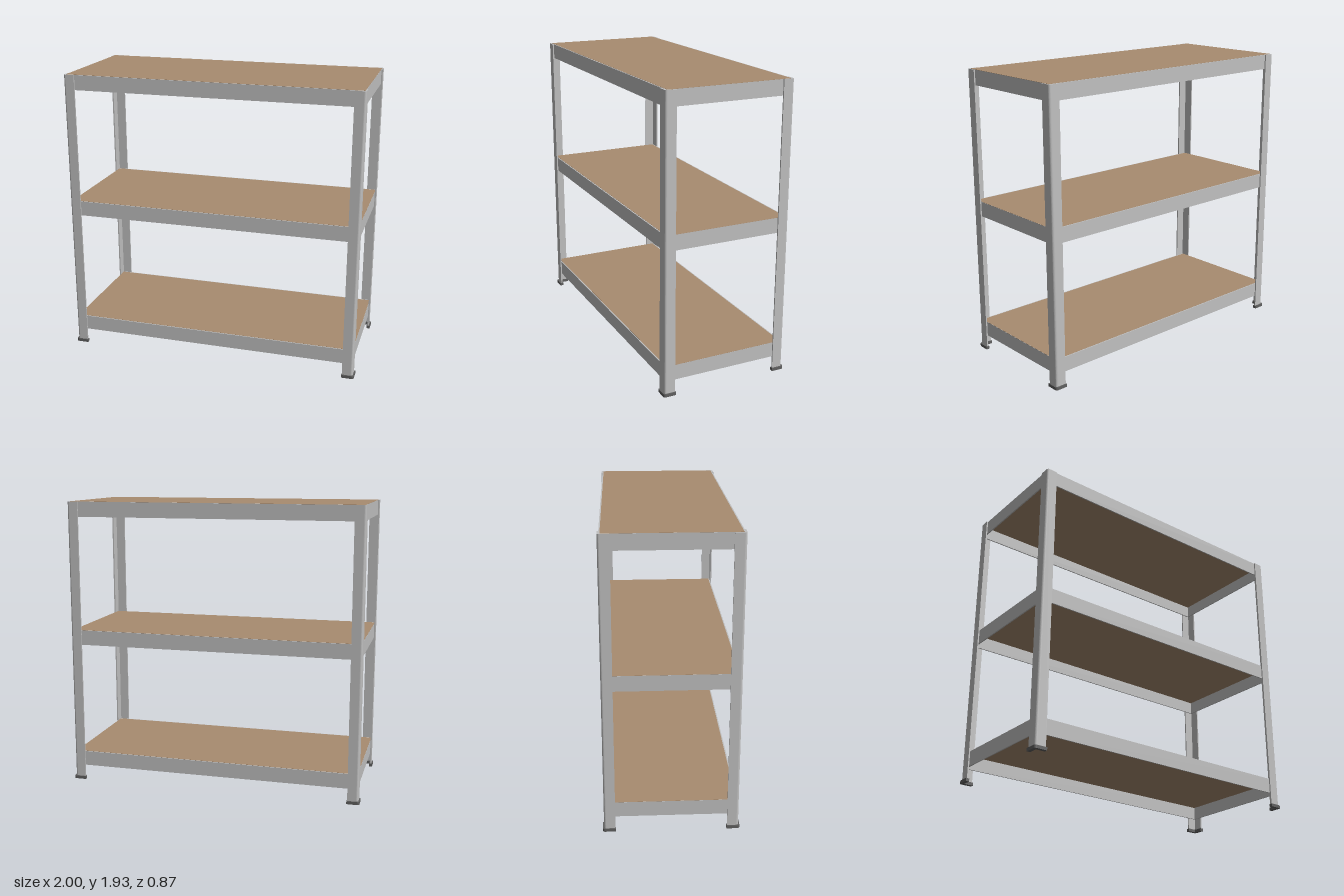
import * as THREE from 'three';

const X = 0.992, Z = 0.427; // outer corner of the uprights

// Vertical L-section with a rounded outer corner, corner at the origin, legs toward -x and +y (-z once upright)
function angleBar(leg, thick, radius, height) {
  const s = new THREE.Shape();
  s.moveTo(-leg, 0);
  s.lineTo(-radius, 0);
  s.absarc(-radius, radius, radius, -Math.PI / 2, 0, false);
  s.lineTo(0, leg);
  s.lineTo(-thick, leg);
  s.lineTo(-thick, thick);
  s.lineTo(-leg, thick);
  s.closePath();
  const g = new THREE.ExtrudeGeometry(s, { depth: height, bevelEnabled: false, curveSegments: 5 });
  return g.rotateX(-Math.PI / 2);
}

export function createModel() {
  const steel = new THREE.MeshStandardMaterial({ color: 0xc0c0c0 });
  steel.name = 'galvanised steel';
  const wood = new THREE.MeshStandardMaterial({ color: 0xa88c70 });
  wood.name = 'fibreboard';
  const rubber = new THREE.MeshStandardMaterial({ color: 0x606060 });
  rubber.name = 'dark foot';

  const model = new THREE.Group();
  model.name = 'shelvingUnit';

  const add = (parent, name, geometry, material, x, y, z) => {
    const m = new THREE.Mesh(geometry, material);
    m.name = name;
    m.position.set(x, y, z);
    parent.add(m);
    return m;
  };

  // Corner uprights, each standing in an L-shaped foot
  const postGeo = angleBar(0.072, 0.009, 0.014, 1.925);
  const footGeo = angleBar(0.084, 0.023, 0.014, 0.02);
  const corners = [[1, 1, 0], [1, -1, 1], [-1, -1, 2], [-1, 1, 3]];
  for (const [sx, sz, turn] of corners) {
    const corner = new THREE.Group();
    corner.name = 'corner';
    corner.position.set(sx * X, 0, sz * Z);
    corner.rotation.y = turn * Math.PI / 2;
    add(corner, 'upright', postGeo, steel, 0, 0.005, 0);
    add(corner, 'foot', footGeo, rubber, 0.008, 0, 0.008);
    model.add(corner);
  }

  // Three shelf levels: long beams, end beams and a thin board set flush
  const bx = X - 0.009, bz = Z - 0.009, t = 0.008, h = 0.1;
  const longGeo = new THREE.BoxGeometry(2 * bx, h, t);
  const endGeo = new THREE.BoxGeometry(t, h, 2 * (bz - t));
  const boardGeo = new THREE.BoxGeometry(2 * (bx - 0.001), 0.014, 2 * (bz - t));
  for (const top of [0.2, 1.06, 1.93]) {
    const shelf = new THREE.Group();
    shelf.name = 'shelf';
    for (const s of [1, -1]) {
      add(shelf, 'longBeam', longGeo, steel, 0, top - h / 2, s * (bz - t / 2));
      add(shelf, 'endBeam', endGeo, steel, s * (bx - t / 2), top - h / 2, 0);
    }
    add(shelf, 'board', boardGeo, wood, 0, top - 0.006, 0);
    model.add(shelf);
  }

  return model;
}
